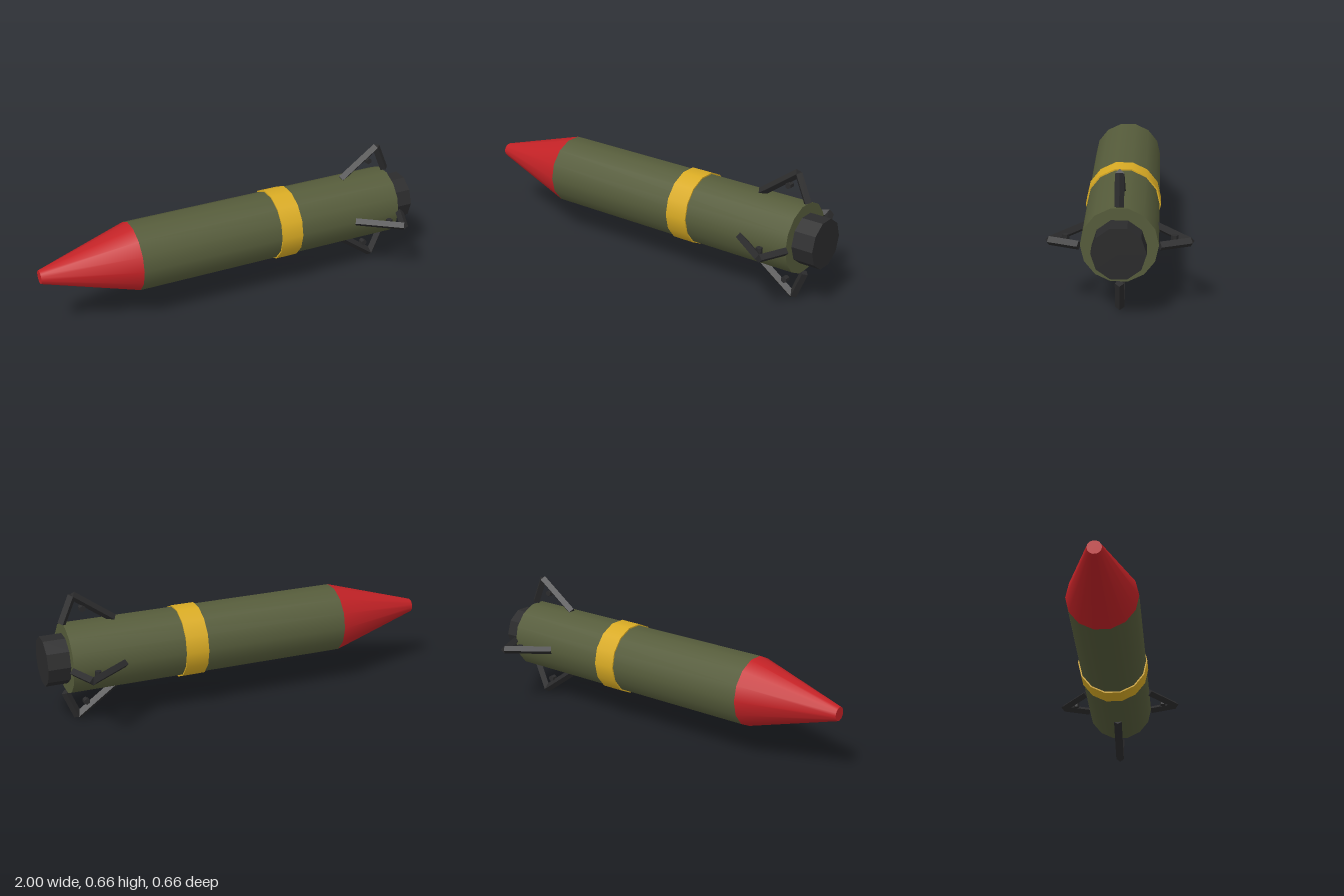
import * as THREE from 'three';

const CENTER_Y = 0.333;

function material(name, color, flatShading = false) {
  const m = new THREE.MeshStandardMaterial({ color, flatShading });
  m.name = name;
  return m;
}

// Cylinder lying along x, from x0 to x1
function barrel(name, x0, r0, x1, r1, sides, mat) {
  const geo = new THREE.CylinderGeometry(r1, r0, x1 - x0, sides);
  geo.rotateZ(-Math.PI / 2);
  geo.translate((x0 + x1) / 2, 0, 0);
  const mesh = new THREE.Mesh(geo, mat);
  mesh.name = name;
  return mesh;
}

// Diamond-section bar between two points in the xy plane
function strut(name, a, b, radius, mat) {
  const dir = b.clone().sub(a);
  const mesh = new THREE.Mesh(new THREE.CylinderGeometry(radius, radius, dir.length(), 4), mat);
  mesh.position.copy(a).add(b).multiplyScalar(0.5);
  mesh.rotation.z = Math.atan2(dir.y, dir.x) - Math.PI / 2;
  mesh.name = name;
  return mesh;
}

export function createModel() {
  const olive = material('olive', 0x565c3b);
  const red = material('red', 0xc42226);
  const yellow = material('yellow', 0xd9ab24);
  const dark = material('charcoal', 0x2b2b2c, true);

  const model = new THREE.Group();
  model.name = 'rocket';
  const rocket = new THREE.Group();
  rocket.name = 'rocketAssembly';
  rocket.position.y = CENTER_Y;
  model.add(rocket);

  // Hull, nose, band and nozzle along the x axis
  rocket.add(
    barrel('noseCone', -1, 0.034, -0.53, 0.174, 14, red),
    barrel('body', -0.53, 0.174, 0.89, 0.174, 14, olive),
    barrel('band', 0.213, 0.181, 0.327, 0.181, 14, yellow),
    barrel('nozzle', 0.88, 0.122, 1, 0.122, 10, dark),
  );

  // Four open triangular fins, each with a small pin
  const front = new THREE.Vector3(0.639, 0.17, 0);
  const tip = new THREE.Vector3(0.838, 0.314, 0);
  const rear = new THREE.Vector3(0.895, 0.178, 0);
  for (let i = 0; i < 4; i++) {
    const fin = new THREE.Group();
    fin.name = 'fin' + (i + 1);
    fin.rotation.x = i * Math.PI / 2;
    fin.add(strut('frontStrut', front, tip, 0.021, dark));
    fin.add(strut('rearStrut', tip, rear, 0.021, dark));
    const pin = new THREE.Mesh(new THREE.CylinderGeometry(0.016, 0.016, 0.03, 6), dark);
    pin.rotation.x = Math.PI / 2;
    pin.position.set(0.793, 0.243, 0);
    pin.name = 'pin';
    fin.add(pin);
    rocket.add(fin);
  }
  return model;
}
